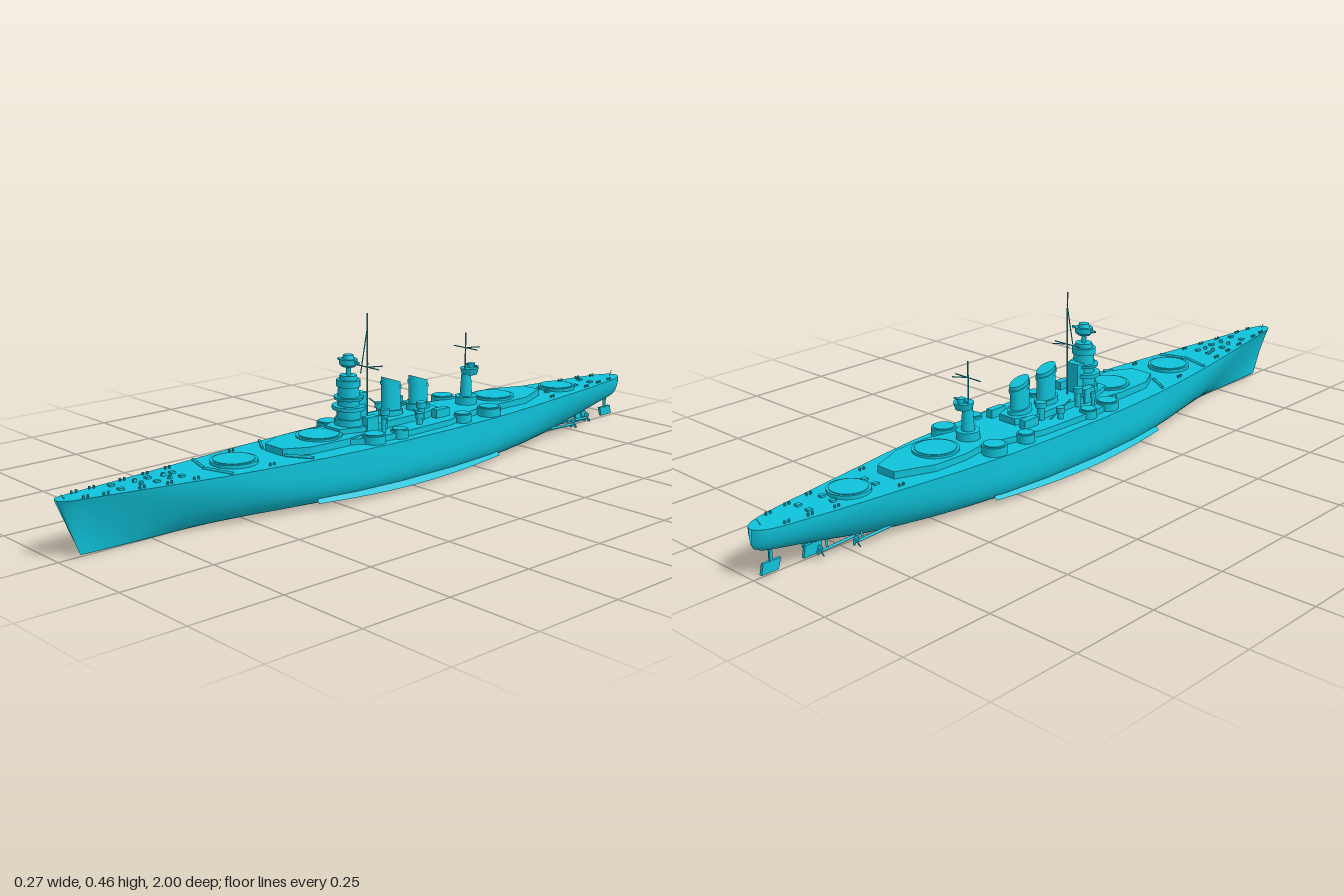
import * as THREE from 'three';

const mat = new THREE.MeshStandardMaterial({ color: 0x0fc3da });
const matFlat = new THREE.MeshStandardMaterial({ color: 0x0fc3da, flatShading: true });
const matThin = new THREE.MeshStandardMaterial({ color: 0x0fc3da, side: THREE.DoubleSide });

// Hull stations: z, deck half width, deck y, keel y, fullness of the section
const STATIONS = [
  [1, 0.004, 0.147, 0.004, 1], [0.992, 0.017, 0.147, 0.004, 0.85], [0.97, 0.026, 0.146, 0.003, 0.8],
  [0.92, 0.034, 0.145, 0.002, 0.85], [0.8, 0.052, 0.142, 0, 1.1], [0.7, 0.069, 0.14, 0, 1.4],
  [0.6, 0.085, 0.138, 0, 1.8], [0.5, 0.099, 0.137, 0, 2.3], [0.4, 0.112, 0.136, 0, 3],
  [0.3, 0.122, 0.135, 0, 3.8], [0.2, 0.13, 0.135, 0, 4.4], [0.05, 0.136, 0.134, 0, 4.8],
  [-0.15, 0.136, 0.134, 0, 4.8], [-0.3, 0.13, 0.133, 0, 4.2], [-0.4, 0.122, 0.133, 0, 3.5],
  [-0.5, 0.11, 0.132, 0, 2.8], [-0.6, 0.095, 0.131, 0.003, 2.2], [-0.7, 0.081, 0.13, 0.014, 1.9],
  [-0.8, 0.066, 0.129, 0.034, 1.9], [-0.88, 0.053, 0.129, 0.05, 2], [-0.94, 0.042, 0.128, 0.06, 2],
  [-0.975, 0.031, 0.128, 0.067, 2], [-0.993, 0.018, 0.128, 0.076, 2], [-1, 0.004, 0.128, 0.088, 2],
];

function deckAt(z, column = 2) {
  const i = Math.max(1, STATIONS.findIndex((s) => s[0] <= z));
  const a = STATIONS[i - 1], b = STATIONS[i];
  return THREE.MathUtils.mapLinear(z, a[0], b[0], a[column], b[column]);
}

function grid(rows, flip) {
  const n = rows[0].length, index = [];
  for (let i = 0; i < rows.length - 1; i++) for (let j = 0; j < n - 1; j++) {
    const a = i * n + j, b = a + n, c = a + 1, d = b + 1;
    index.push(...(flip ? [a, b, c, c, b, d] : [a, c, b, b, c, d]));
  }
  const g = new THREE.BufferGeometry();
  g.setAttribute('position', new THREE.Float32BufferAttribute(rows.flat(2), 3));
  g.setIndex(index);
  g.computeVertexNormals();
  return g;
}

// Superelliptic sections, with a raked stem
function hullGeometry() {
  const N = 14;
  return grid(STATIONS.map(([z, w, top, keel, n]) => {
    const row = [];
    for (let j = -N; j <= N; j++) {
      const a = (1 - Math.abs(j) / N) * Math.PI / 2, e = 2 / n;
      const x = -Math.sign(j) * w * Math.pow(Math.cos(a), e);
      const y = top - (top - keel) * Math.pow(Math.sin(a), e);
      const rake = 0.06 * THREE.MathUtils.smoothstep(z, 0.5, 1) * (1 - y / top);
      row.push([x, y, z - rake]);
    }
    return row;
  }));
}

export function createModel() {
  const ship = new THREE.Group();
  ship.name = 'battleship';
  const add = (name, geo, x = 0, y = 0, z = 0, m = mat) => {
    const mesh = new THREE.Mesh(geo, m);
    mesh.name = name;
    mesh.position.set(x, y, z);
    ship.add(mesh);
    return mesh;
  };
  const cyl = (name, r, y0, y1, x, z, sides = 24, rTop = r) =>
    add(name, new THREE.CylinderGeometry(rTop, r, y1 - y0, sides), x, (y0 + y1) / 2, z, sides < 12 ? matFlat : mat);
  const box = (name, w, y0, y1, d, x, z) =>
    add(name, new THREE.BoxGeometry(w, y1 - y0, d), x, (y0 + y1) / 2, z);
  // Symmetric plan given as [x, z] of one side, raised from y0 to y1
  const slab = (name, half, y0, y1) => {
    const pts = [...half, ...half.map(([x, z]) => [-x, z]).reverse()];
    const shape = new THREE.Shape(pts.map(([x, z]) => new THREE.Vector2(x, -z)));
    const geo = new THREE.ExtrudeGeometry(shape, { depth: y1 - y0, bevelEnabled: false });
    geo.rotateX(-Math.PI / 2);
    return add(name, geo, 0, y0, 0);
  };
  const rod = (name, a, b, r = 0.0015) => {
    const p = new THREE.Vector3(...a), q = new THREE.Vector3(...b), d = q.clone().sub(p);
    const mesh = add(name, new THREE.CylinderGeometry(r, r, d.length(), 6), ...p.add(q).multiplyScalar(0.5).toArray());
    mesh.quaternion.setFromUnitVectors(new THREE.Vector3(0, 1, 0), d.normalize());
    return mesh;
  };

  // Hull and deck
  add('hull', hullGeometry(), 0, 0, 0, matThin);
  add('deck', grid(STATIONS.map(([z, w, y]) => [[w, y, z], [-w, y, z]]), true));

  // Raised decks around the inner barbettes and amidships
  slab('forwardRaisedDeck', [[0.035, 0.375], [0.07, 0.31], [0.075, 0.2], [0.06, 0.1]], 0.12, 0.154);
  slab('midshipDeck', [[0.06, 0.2], [0.1, 0.13], [0.11, 0.03], [0.105, -0.15], [0.075, -0.27], [0.05, -0.38]], 0.12, 0.15);
  slab('aftRaisedDeck', [[0.06, -0.32], [0.075, -0.4], [0.072, -0.5], [0.03, -0.6]], 0.12, 0.15);
  slab('upperDeckhouse', [[0.03, 0.18], [0.05, 0.12], [0.05, -0.12], [0.028, -0.18]], 0.14, 0.168);

  // Empty main turret rings
  for (const [z, r, top] of [[0.5, 0.06, 0.146], [0.225, 0.061, 0.159], [-0.435, 0.06, 0.156], [-0.715, 0.054, 0.139]]) {
    cyl('barbette', r, 0.12, top, 0, z, 40);
    cyl('barbetteRing', r * 0.88, top - 0.002, top + 0.002, 0, z, 40);
  }

  // Bridge tower: radius, bottom, top, top radius
  const tower = [[0.042, 0.15, 0.185, 0.04], [0.034, 0.185, 0.21, 0.034], [0.047, 0.209, 0.219, 0.047],
    [0.031, 0.219, 0.236, 0.031], [0.04, 0.235, 0.243, 0.042], [0.031, 0.243, 0.272, 0.029],
    [0.034, 0.27, 0.288, 0.034], [0.025, 0.288, 0.3, 0.024], [0.007, 0.3, 0.326, 0.007],
    [0.018, 0.322, 0.329, 0.026], [0.026, 0.329, 0.343, 0.026], [0.017, 0.343, 0.354, 0.014]];
  for (const [r, y0, y1, rt] of tower) cyl('bridgeTower', r, y0, y1, 0, 0.122, 16, rt).scale.z = 0.9;
  rod('rangefinder', [-0.041, 0.337, 0.122], [0.041, 0.337, 0.122], 0.0035);
  box('bridgeBack', 0.04, 0.15, 0.25, 0.03, 0, 0.09);

  // Masts with crossed yards
  rod('foremast', [0, 0.15, 0.055], [0, 0.455, 0.055], 0.002);
  rod('foremastStay', [0.003, 0.42, 0.057], [0.012, 0.3, 0.09]);
  rod('mainmast', [0, 0.24, -0.318], [0, 0.353, -0.318], 0.002);
  for (const [z, y] of [[0.055, 0.31], [-0.318, 0.31]]) {
    rod('yard', [-0.045, y, z], [0.045, y, z]);
    for (const s of [1, -1]) rod('yardArm', [0, y, z], [s * 0.028, y + 0.003, z - 0.028]);
  }

  // Funnels: oval tubes with tops that slope aft
  for (const [z, top] of [[-0.03, 0.275], [-0.132, 0.264]]) {
    const h = top - 0.15;
    for (const [name, grow, y0, y1] of [['funnel', 1, 0, h], ['funnelBand', 1.1, h - 0.022, h - 0.012], ['funnelBase', 1.25, 0, 0.035]]) {
      const geo = new THREE.CylinderGeometry(grow, grow, y1 - y0, 24).translate(0, (y0 + y1) / 2, 0);
      geo.scale(0.021, 1, 0.03);
      const p = geo.attributes.position;
      for (let i = 0; i < p.count; i++) {
        const t = p.getY(i) / h;
        p.setY(i, p.getY(i) + (p.getZ(i) - 0.03) * 0.35 * t);
      }
      geo.computeVertexNormals();
      add(name, geo, 0, 0.15, z);
    }
  }

  // Aft control tower
  cyl('aftTower', 0.02, 0.14, 0.235, 0, -0.322, 12, 0.014);
  cyl('aftTowerBase', 0.032, 0.14, 0.172, 0, -0.322, 12);
  cyl('aftPlatform', 0.022, 0.232, 0.25, 0, -0.335, 12, 0.027);
  cyl('aftDirector', 0.011, 0.25, 0.262, 0, -0.343, 12);
  rod('aftRangefinder', [-0.025, 0.256, -0.343], [0.025, 0.256, -0.343], 0.003);

  for (const s of [1, -1]) {
    // Secondary turret rings along the sides
    for (const [x, z, r] of [[0.092, 0.115, 0.031], [0.092, -0.32, 0.033], [0.098, 0.03, 0.024], [0.096, -0.21, 0.024]]) {
      cyl('sideBarbette', r, 0.12, 0.156, s * x, z, 24);
      cyl('sideBarbetteRing', r * 0.85, 0.155, 0.159, s * x, z, 24);
    }
    // Directors, gun tubs and lockers beside the funnels
    for (const [x, z, r, top] of [[0.08, 0.07, 0.008, 0.185], [0.046, -0.1, 0.015, 0.195], [0.052, 0.04, 0.013, 0.2], [0.08, -0.06, 0.012, 0.178]]) {
      cyl('directorPost', r * 0.7, 0.148, top - 0.008, s * x, z, 12);
      cyl('director', r, top - 0.012, top + 0.003, s * x, z, 12);
    }
    box('sideHouse', 0.022, 0.14, 0.19, 0.04, s * 0.045, 0.085);
    box('boatHouse', 0.02, 0.14, 0.173, 0.05, s * 0.06, -0.16);
    rod('crane', [s * 0.066, 0.15, -0.085], [s * 0.088, 0.196, -0.03], 0.002);

    // Wave breakers
    rod('breakwater', [0, 0.14, 0.59], [s * 0.082, 0.14, 0.565], 0.004);
    rod('sideBreakwater', [s * 0.045, 0.14, 0.375], [s * 0.11, 0.14, 0.335], 0.004);

    // Bilge keel: a thin tapering fin
    const fin = [];
    for (let i = 0; i <= 12; i++) {
      const k = 0.5 + 0.5 * Math.sin(Math.PI * i / 12), z = 0.32 - i * 0.055;
      const root = deckAt(z, 1) * 0.86;
      fin.push([[s * root, 0.026, z], [s * (root + 0.016 * k), 0.026 - 0.02 * k, z]]);
    }
    add('bilgeKeel', grid(fin), 0, 0, 0, matThin);

    // Propellers, shafts and brackets
    for (const [x, z] of [[0.028, -0.83], [0.05, -0.74]]) {
      rod('propellerShaft', [s * x, 0.022, z], [s * x, 0.027, z + 0.13], 0.004);
      rod('shaftBracket', [s * x, 0.022, z + 0.02], [s * x * 0.6, 0.06, z + 0.025], 0.003);
      for (let i = 0; i < 3; i++) {
        const blade = add('propellerBlade', new THREE.CircleGeometry(0.008, 10).translate(0, 0.009, 0), s * x, 0.022, z, matThin);
        blade.rotation.set(0, 0.4, i * Math.PI * 2 / 3, 'ZYX');
      }
    }

    // Deck bollards, vents and winches at bow and stern
    for (const z of [0.93, 0.88, 0.79, 0.72, 0.65, 0.44, -0.62, -0.8, -0.87, -0.93]) {
      const x = s * deckAt(z, 1) * 0.78, y = deckAt(z);
      for (const d of [0, 0.012]) cyl('bollard', 0.003, y - 0.002, y + 0.007, x, z + d, 8);
    }
    for (const z of [0.84, 0.74, 0.67, -0.65, -0.78, -0.85]) box('deckHatch', 0.012, 0.12, deckAt(z) + 0.005, 0.014, s * 0.02, z);
    for (const z of [0.7, 0.78]) cyl('capstan', 0.007, 0.135, deckAt(z) + 0.008, s * 0.014, z, 10, 0.005);
  }

  // Rudders on the centreline
  for (const [z, y1] of [[-0.95, 0.033], [-0.83, 0.036]]) {
    const shape = new THREE.Shape([[-0.03, 0.006], [0.018, 0.006], [0.026, y1], [-0.024, y1]].map(([a, b]) => new THREE.Vector2(a, b)));
    const geo = new THREE.ExtrudeGeometry(shape, { depth: 0.008, bevelEnabled: false });
    geo.translate(0, 0, -0.004).rotateY(-Math.PI / 2);
    add('rudder', geo, 0, 0, z);
    cyl('rudderStock', 0.005, 0.03, 0.075, 0, z, 10);
  }

  // Flagstaffs
  rod('jackstaff', [0, 0.145, 0.975], [0, 0.158, 0.985], 0.001);
  rod('ensignStaff', [0, 0.126, -0.97], [0, 0.145, -0.98], 0.001);
  return ship;
}
